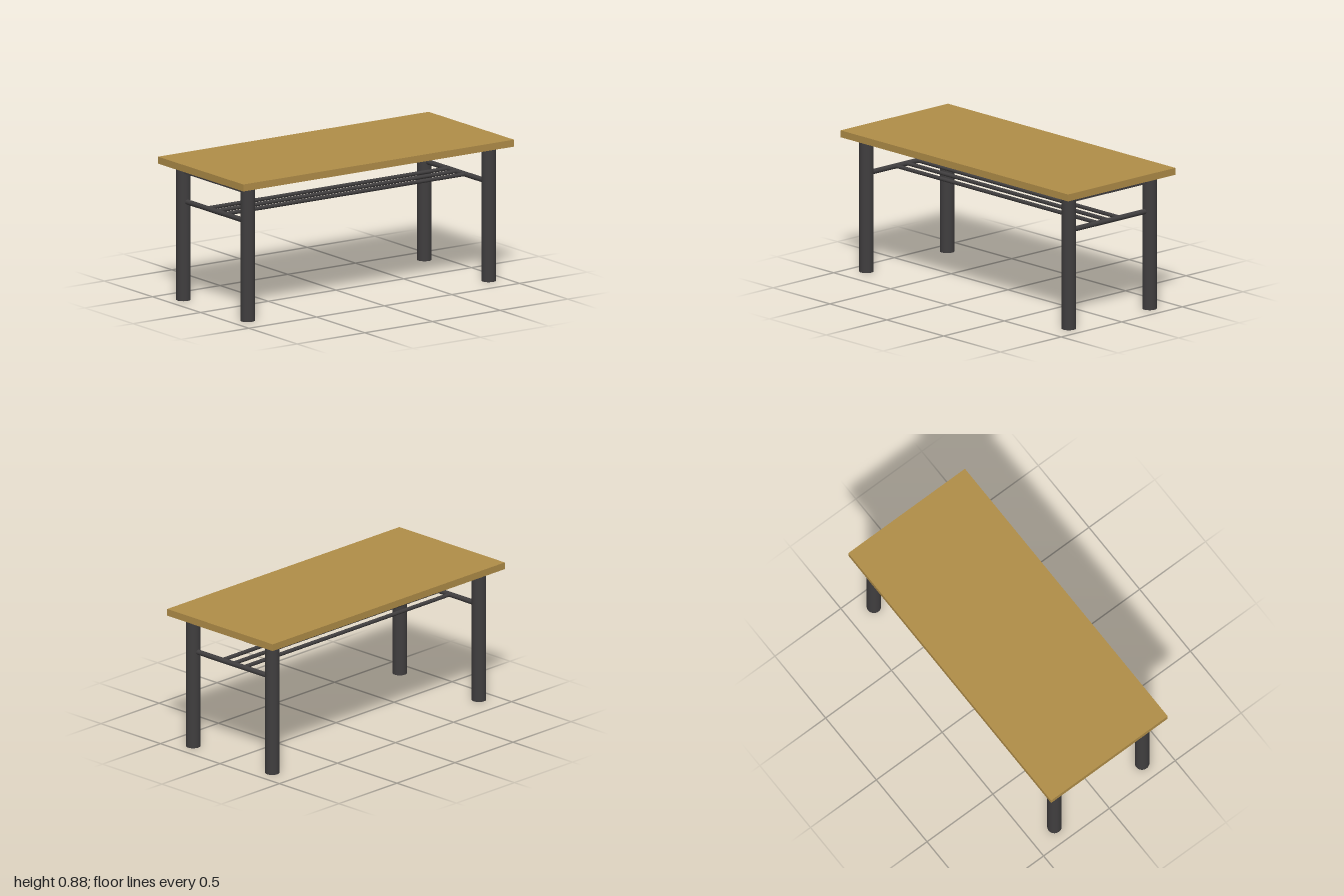
import * as THREE from 'three';

export function createModel() {
  const group = new THREE.Group();
  const wood = new THREE.MeshStandardMaterial({ color: 0xb08d48 });
  const metal = new THREE.MeshStandardMaterial({ color: 0x403e3f });

  const LEG_X = 0.333, LEG_Z = 0.89, LEG_R = 0.044, LEG_H = 0.835;
  const APRON = 0.045, BAR_Y = 0.612;

  function add(name, geometry, material, x, y, z) {
    const mesh = new THREE.Mesh(geometry, material);
    mesh.name = name;
    mesh.position.set(x, y, z);
    group.add(mesh);
    return mesh;
  }

  // Table top
  add('tableTop', new THREE.BoxGeometry(0.886, 0.043, 2), wood, 0, LEG_H + 0.0215, 0);

  // Round legs
  for (const sx of [-1, 1]) {
    for (const sz of [-1, 1]) {
      add('leg', new THREE.CylinderGeometry(LEG_R, LEG_R, LEG_H, 32), metal,
        sx * LEG_X, LEG_H / 2, sz * LEG_Z);
    }
  }

  // Aprons across both ends, with a round crossbar below each
  for (const sz of [-1, 1]) {
    add('endApron', new THREE.BoxGeometry(2 * LEG_X, APRON, APRON), metal,
      0, LEG_H - APRON / 2, sz * LEG_Z);
    add('crossbar', new THREE.CylinderGeometry(0.016, 0.016, 2 * LEG_X, 24), metal,
      0, BAR_Y, sz * LEG_Z).rotation.z = Math.PI / 2;
  }

  // Long apron along one side
  add('sideApron', new THREE.BoxGeometry(APRON, APRON, 2 * LEG_Z), metal,
    -LEG_X, LEG_H - APRON / 2, 0);

  // Shelf rods running between the crossbars
  for (const x of [-0.09, 0, 0.09]) {
    add('shelfRod', new THREE.CylinderGeometry(0.012, 0.012, 2 * LEG_Z, 20), metal,
      x, BAR_Y, 0).rotation.x = Math.PI / 2;
  }

  return group;
}
